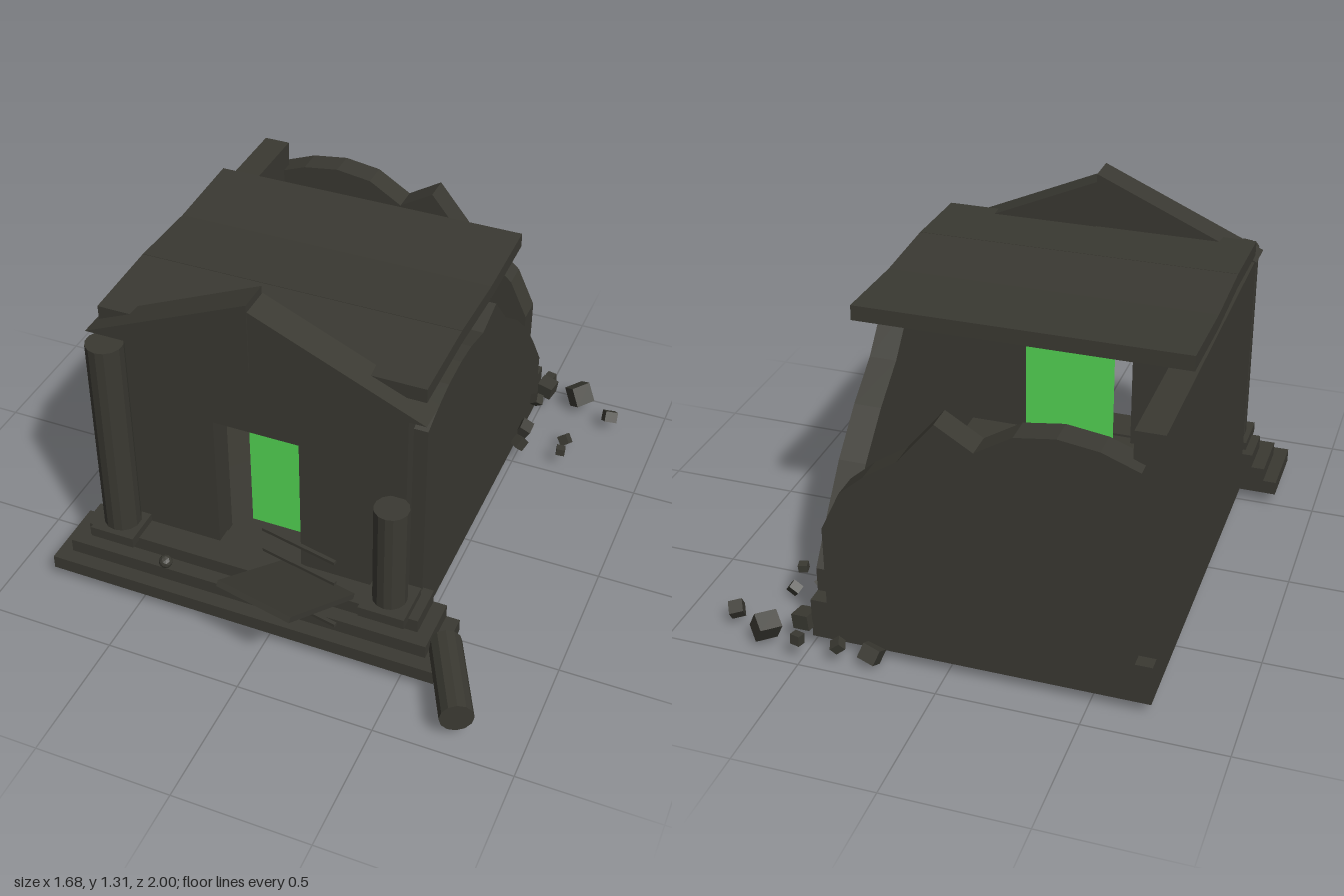
import * as THREE from 'three';

export function createModel() {
  const model = new THREE.Group();
  model.name = 'ruinedTemple';
  const stone = new THREE.MeshStandardMaterial({ color: 0x3a3932, flatShading: true });
  stone.name = 'dark stone';
  const glow = new THREE.MeshStandardMaterial({ color: 0x54d654 });
  glow.name = 'glowing green';

  const add = (name, geometry, material = stone) => {
    const mesh = new THREE.Mesh(geometry, material);
    mesh.name = name;
    model.add(mesh);
    return mesh;
  };
  // Box given by its minimum and maximum on each axis
  const box = (name, x0, x1, y0, y1, z0, z1, material) => {
    const mesh = add(name, new THREE.BoxGeometry(x1 - x0, y1 - y0, z1 - z0), material);
    mesh.position.set((x0 + x1) / 2, (y0 + y1) / 2, (z0 + z1) / 2);
    return mesh;
  };
  const outline = (points) => new THREE.Shape(points.map(([x, y]) => new THREE.Vector2(x, y)));
  const extrude = (shape, depth) => new THREE.ExtrudeGeometry(shape, { depth, bevelEnabled: false });

  // Foundation and front steps
  box('foundation', -0.71, 0.49, 0.05, 0.2, -0.89, 0.51);
  for (let i = 0; i < 3; i++) {
    const inset = i * 0.05;
    box('step', -0.85 + inset, 0.63 - inset, 0.05 + i * 0.053, 0.103 + i * 0.053, 0.5, 0.77 - i * 0.055);
  }

  // Intact left wall
  box('leftWall', -0.71, -0.61, 0.2, 1.035, -0.84, 0.51);

  // Broken right wall, outlined along z
  const rightWall = extrude(outline([
    [-0.83, 0.2], [0.51, 0.2], [0.51, 0.92], [0.42, 0.955], [0.32, 0.98], [0.2, 0.99],
    [0.1, 0.985], [-0.03, 0.955], [-0.165, 0.99], [-0.3, 0.84], [-0.45, 0.73],
    [-0.6, 0.59], [-0.72, 0.44], [-0.83, 0.29],
  ]), 0.1);
  rightWall.rotateY(-Math.PI / 2);
  add('rightWall', rightWall).position.x = 0.49;

  // Broken back wall
  add('backWall', extrude(outline([
    [-0.65, 0.2], [0.43, 0.2], [0.43, 0.5], [0.36, 0.65], [0.27, 0.73], [0.15, 0.81],
    [0.02, 0.97], [-0.11, 0.89], [-0.24, 0.97], [-0.38, 0.99], [-0.52, 0.97], [-0.65, 0.92],
  ]), 0.1)).position.z = -0.89;

  // Front wall with doorway
  add('frontWall', extrude(outline([
    [-0.66, 0.2], [-0.27, 0.2], [-0.27, 0.76], [0.05, 0.76], [0.05, 0.2],
    [0.44, 0.2], [0.44, 1.03], [-0.66, 1.03],
  ]), 0.1)).position.z = 0.46;
  box('glowingDoorPanel', -0.215, 0.14, 0.2, 0.755, 0.39, 0.398, glow);

  // Pediment, cracked in two
  add('pedimentLeft', extrude(outline([[-0.72, 1.04], [-0.11, 1.04], [-0.11, 1.31]]), 0.12)).position.z = 0.47;
  add('pedimentRight', extrude(outline([[-0.11, 1.005], [0.51, 1.005], [-0.11, 1.28]]), 0.12)).position.z = 0.465;

  // Sagging roof slabs: z and height of each joint
  const joints = [[0.52, 1.074], [0.195, 1.085], [-0.11, 1.07], [-0.45, 1.082]];
  for (let i = 0; i < 3; i++) {
    const [z0, y0] = joints[i], [z1, y1] = joints[i + 1];
    const slab = add('roofSlab', new THREE.BoxGeometry(1.19, 0.055, z0 - z1));
    slab.position.set(-0.11, (y0 + y1) / 2, (z0 + z1) / 2);
    slab.rotation.x = Math.atan2(y1 - y0, z0 - z1);
  }

  // Standing and broken columns on plinths
  for (const [name, x, r, top] of [['leftColumn', -0.632, 0.067, 1.035], ['brokenColumn', 0.41, 0.062, 0.652]]) {
    box('columnPlinth', x - 0.085, x + 0.085, 0.2, 0.24, 0.535, 0.705);
    add(name, new THREE.CylinderGeometry(r, r, top - 0.24, 14)).position.set(x, (top + 0.24) / 2, 0.617);
  }

  // Fallen column piece
  const fallen = add('fallenColumn', new THREE.CylinderGeometry(0.06, 0.06, 0.34, 12));
  fallen.position.set(0.695, 0.107, 0.775);
  fallen.rotation.set(Math.PI / 2, 0.46, 0, 'YXZ');

  // Tilted door slab and its thin bars
  const door = add('fallenDoor', new THREE.BoxGeometry(0.3, 0.022, 0.42));
  door.position.set(0.1, 0.315, 0.79);
  door.rotation.set(-0.49, -0.21, 0, 'YXZ');
  for (const y of [0.465, 0.37, 0.17]) {
    const bar = add('doorBar', new THREE.BoxGeometry(0.3, 0.012, 0.014));
    bar.position.set(0.115, y, 0.718);
    bar.rotation.y = -0.21;
  }
  add('doorKnob', new THREE.IcosahedronGeometry(0.025, 1)).position.set(-0.405, 0.203, 0.725);

  // Rubble around the collapsed corner: x, y, z, size
  const rubble = [
    [0.26, 0.05, -0.92, 0.065], [0.37, 0.08, -0.95, 0.04], [0.51, 0.09, -0.97, 0.038],
    [0.65, 0.08, -0.925, 0.08], [0.8, 0.065, -0.85, 0.05], [0.52, 0.11, -0.88, 0.065],
    [0.52, 0.155, -0.73, 0.04], [0.51, 0.09, -0.61, 0.055], [0.67, 0.05, -0.655, 0.04],
    [0.68, 0.075, -0.555, 0.034], [0.52, 0.095, -0.515, 0.045],
  ];
  rubble.forEach(([x, y, z, s], i) => {
    const rock = add('rubble', new THREE.BoxGeometry(s, s * 0.85, s));
    rock.position.set(x, y, z);
    rock.rotation.set(0.5 + i * 1.3, i * 0.9, 0.3 + i * 0.7);
  });

  return model;
}
